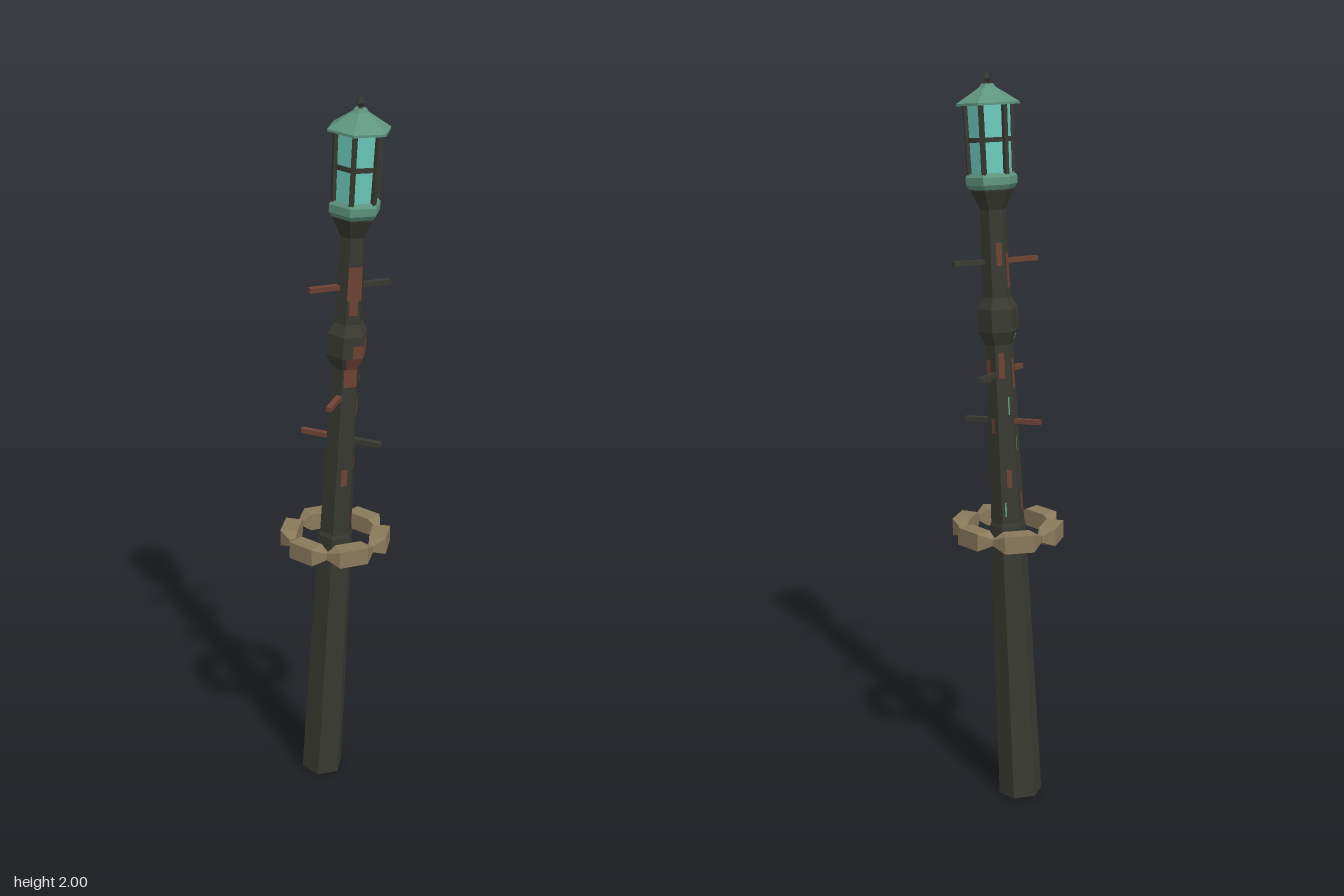
import * as THREE from 'three';
import { ConvexGeometry } from 'three/addons/geometries/ConvexGeometry.js';

const paint = (name, color, opts = {}) => {
  const m = new THREE.MeshStandardMaterial({ color, ...opts });
  m.name = name;
  return m;
};

export function createModel() {
  const iron = paint('dark iron', 0x3a3a33);
  const rust = paint('rust', 0x6e4233);
  const verdigris = paint('verdigris copper', 0x5f9680);
  const glass = paint('teal glass', 0x6ccabb);
  const tan = paint('tan stone', 0x8a7a5c);

  const model = new THREE.Group();
  model.name = 'leaningLampPost';
  const post = new THREE.Group();
  post.name = 'post';
  post.position.set(-0.063, 0.004, 0);
  post.rotation.z = -0.068;
  model.add(post);

  const add = (parent, name, geometry, material) => {
    const mesh = new THREE.Mesh(geometry, material);
    mesh.name = name;
    parent.add(mesh);
    return mesh;
  };

  // Faceted turned part with corners on the x axis, from [radius, height] pairs
  const turned = (name, profile, material, sides = 6) => {
    const pts = profile.map(([r, y]) => new THREE.Vector2(r, y));
    const g = new THREE.LatheGeometry(pts, sides, Math.PI / 2).toNonIndexed();
    g.computeVertexNormals();
    return add(post, name, g, material);
  };

  // Pole with its middle collar and the flare under the lantern
  const pole = [
    [0.061, 0], [0.05, 0.79], [0.046, 0.8], [0.038, 1.29], [0.055, 1.325], [0.055, 1.385],
    [0.039, 1.415], [0.034, 1.645], [0.058, 1.695], [0.058, 1.705],
  ];
  turned('pole', [[0, 0], ...pole, [0, 1.705]], iron);

  // Lantern
  turned('lanternBase', [[0, 1.698], [0.06, 1.698], [0.069, 1.71], [0.069, 1.73], [0.062, 1.74], [0, 1.74]], verdigris);
  turned('lanternGlass', [[0.057, 1.738], [0.06, 1.918]], glass);
  turned('roof', [[0, 1.912], [0.084, 1.912], [0.084, 1.918], [0.022, 1.957], [0.016, 1.966], [0, 1.966]], verdigris);
  turned('finial', [[0.008, 1.962], [0.006, 1.97], [0.013, 1.979], [0, 2.001]], iron, 4);

  for (let i = 0; i < 6; i++) {
    const a = i * Math.PI / 3;
    const corner = new THREE.Group();
    corner.name = 'lanternFrame';
    corner.rotation.y = a;
    post.add(corner);
    const upright = add(corner, 'upright', new THREE.BoxGeometry(0.012, 0.182, 0.012), iron);
    upright.position.set(0.059, 1.827, 0);
    upright.rotation.z = -0.017;
    const side = new THREE.Group();
    side.name = 'lanternCrossbar';
    side.rotation.y = a + Math.PI / 6;
    post.add(side);
    add(side, 'crossbar', new THREE.BoxGeometry(0.008, 0.012, 0.056), iron).position.set(0.051, 1.825, 0);
  }

  // Climbing rungs, rusty on one half: [height, angle, half length]
  for (const [y, angle, half] of [[1.51, 1.995, 0.116], [1.21, 1.22, 0.118], [1.08, 2.775, 0.112]]) {
    const rung = new THREE.Group();
    rung.name = 'rung';
    rung.position.y = y;
    rung.rotation.y = -angle;
    post.add(rung);
    for (const s of [1, -1]) {
      const bar = add(rung, s > 0 ? 'rustyHalf' : 'ironHalf', new THREE.BoxGeometry(half, 0.013, 0.015), s > 0 ? rust : iron);
      bar.position.x = s * half / 2;
    }
  }

  // Thin weathering patches lying on the pole faces
  const radiusAt = (y) => {
    const i = Math.max(1, pole.findIndex((p) => p[1] >= y));
    const [r0, y0] = pole[i - 1], [r1, y1] = pole[i];
    return r0 + (r1 - r0) * (y - y0) / (y1 - y0);
  };
  const patch = (face, y0, y1, u0, u1, material, name) => {
    const point = (u, y) => {
      const r = radiusAt(y) + 0.0015;
      const a = face * Math.PI / 3, b = a + Math.PI / 3;
      return [
        r * THREE.MathUtils.lerp(Math.cos(a), Math.cos(b), u), y,
        r * THREE.MathUtils.lerp(Math.sin(a), Math.sin(b), u),
      ];
    };
    const g = new THREE.BufferGeometry();
    g.setAttribute('position', new THREE.Float32BufferAttribute(
      [point(u1, y0), point(u0, y0), point(u0, y1), point(u1, y1)].flat(), 3));
    g.setIndex([0, 1, 2, 0, 2, 3]);
    g.computeVertexNormals();
    add(post, name, g, material);
  };
  // face, bottom, top, start and end across the face
  const rusty = [
    [0, 1.48, 1.57, 0, 1], [0, 1.44, 1.48, 0.2, 0.8], [0, 1.24, 1.29, 0, 0.9],
    [0, 1.29, 1.325, 0, 0.8], [0, 1.325, 1.36, 0, 0.5], [0, 0.95, 1.0, 0.3, 0.7],
    [5, 1.325, 1.38, 0.3, 1], [5, 1.29, 1.325, 0.5, 1], [5, 1.15, 1.2, 0.1, 0.6],
    [5, 1.0, 1.03, 0.5, 0.9], [5, 0.82, 0.86, 0.2, 0.6], [5, 1.65, 1.69, 0.2, 0.8],
    [2, 1.44, 1.53, 0.3, 0.8], [2, 1.17, 1.25, 0.3, 0.7], [2, 0.83, 0.88, 0.2, 0.5],
    [3, 1.5, 1.56, 0.2, 0.6], [3, 1.2, 1.27, 0.4, 0.8], [3, 0.9, 0.95, 0.3, 0.6],
    [4, 1.19, 1.25, 0.5, 0.9], [4, 1.05, 1.09, 0.3, 0.6],
  ];
  for (const p of rusty) patch(...p, rust, 'rustPatch');
  for (const p of [[2, 1.0, 1.04, 0.6, 0.7], [3, 1.1, 1.15, 0.2, 0.3], [3, 0.82, 0.86, 0.7, 0.8], [2, 1.3, 1.32, 0.3, 0.5]])
    patch(...p, verdigris, 'verdigrisFleck');

  // Level ring of six blocks with pinched ends
  const corners = [];
  for (const [x, h, z] of [[0.04, 0.024, 0.147], [0.036, 0.024, 0.1], [0.066, 0.009, 0.116], [0.059, 0.009, 0.102]])
    for (const sx of [1, -1]) for (const sy of [1, -1]) corners.push(new THREE.Vector3(sx * x, sy * h, z));
  const block = new ConvexGeometry(corners);
  const ring = new THREE.Group();
  ring.name = 'ring';
  ring.position.set(-0.01, 0.78, 0);
  model.add(ring);
  for (let i = 0; i < 6; i++) add(ring, 'ringBlock', block, tan).rotation.y = i * Math.PI / 3;

  return model;
}
